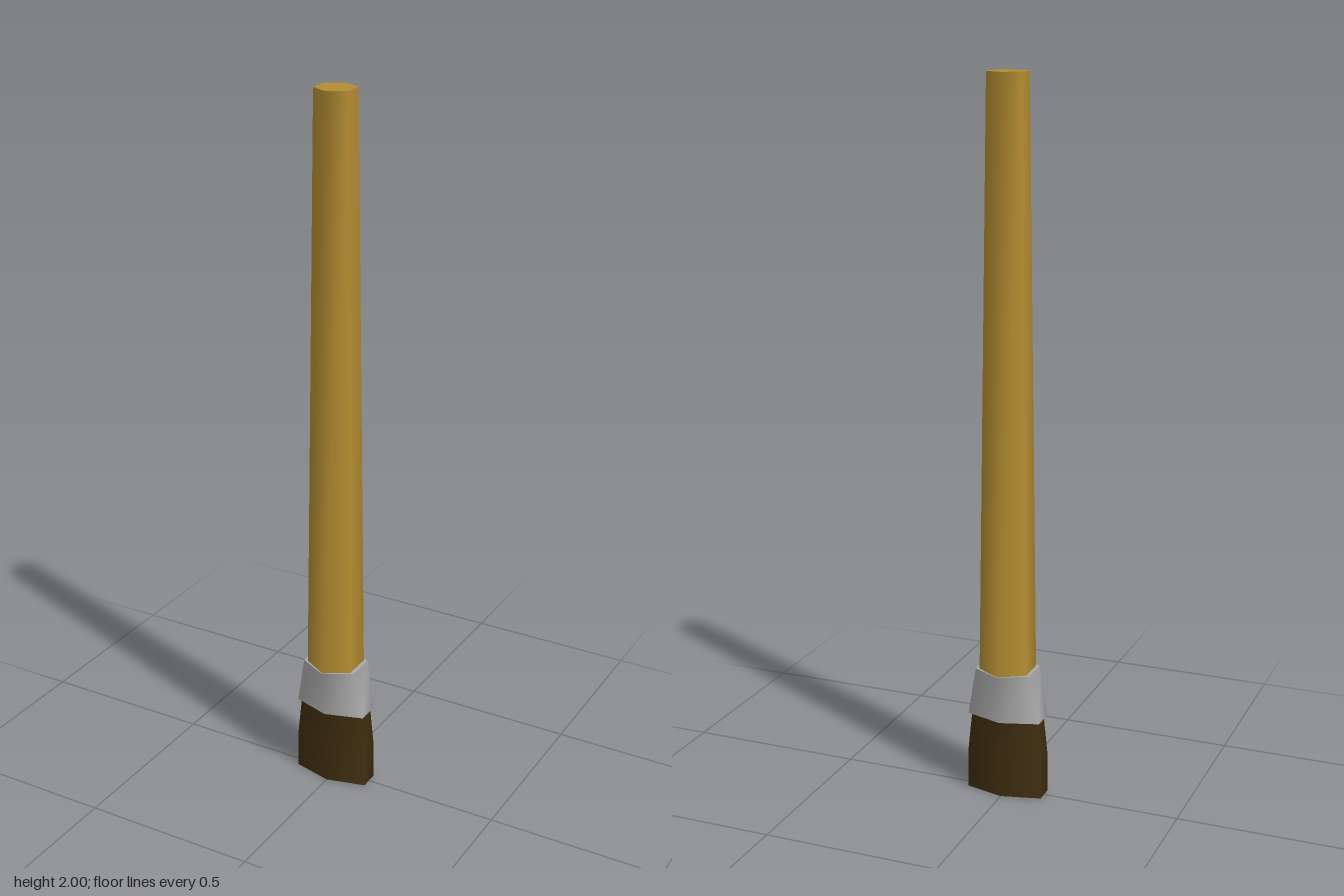
import * as THREE from 'three';
import { mergeVertices, toCreasedNormals } from 'three/addons/utils/BufferGeometryUtils.js';

const wood = new THREE.MeshStandardMaterial({ name: 'wood', color: 0xb48d32 });
const metal = new THREE.MeshStandardMaterial({ name: 'metal', color: 0xa9a9a9 });
const hair = new THREE.MeshStandardMaterial({ name: 'dark bristle', color: 0x3f2e10 });

// Closed six-sided loft with points on z; rings run top to bottom as [y, halfWidth, halfDepth]
function hexLoft(name, rings, material) {
  const steps = rings.length - 1;
  const geo = new THREE.CylinderGeometry(1, 1, 1, 6, steps);
  const pos = geo.attributes.position;
  const flat = Math.cos(Math.PI / 6);
  for (let i = 0; i < pos.count; i++) {
    const [y, w, d] = rings[Math.round((0.5 - pos.getY(i)) * steps)];
    pos.setXYZ(i, (pos.getX(i) / flat) * w, y, pos.getZ(i) * d);
  }
  // Smooth around the sides, sharp at the end caps
  geo.deleteAttribute('normal');
  geo.deleteAttribute('uv');
  const mesh = new THREE.Mesh(toCreasedNormals(mergeVertices(geo), 1.36), material);
  mesh.name = name;
  return mesh;
}

export function createModel() {
  const brush = new THREE.Group();
  brush.name = 'paintbrush';
  brush.add(
    // Long tapered handle
    hexLoft('handle', [[2, 0.049, 0.055], [0.36, 0.069, 0.08]], wood),
    // Metal band, flattening towards the bristles
    hexLoft('ferrule', [[0.37, 0.08, 0.083], [0.228, 0.106, 0.066]], metal),
    // Flat bristle block, drawn in under the band
    hexLoft('bristles', [[0.24, 0.097, 0.05], [0.12, 0.109, 0.054], [0, 0.11, 0.055]], hair),
  );
  return brush;
}
